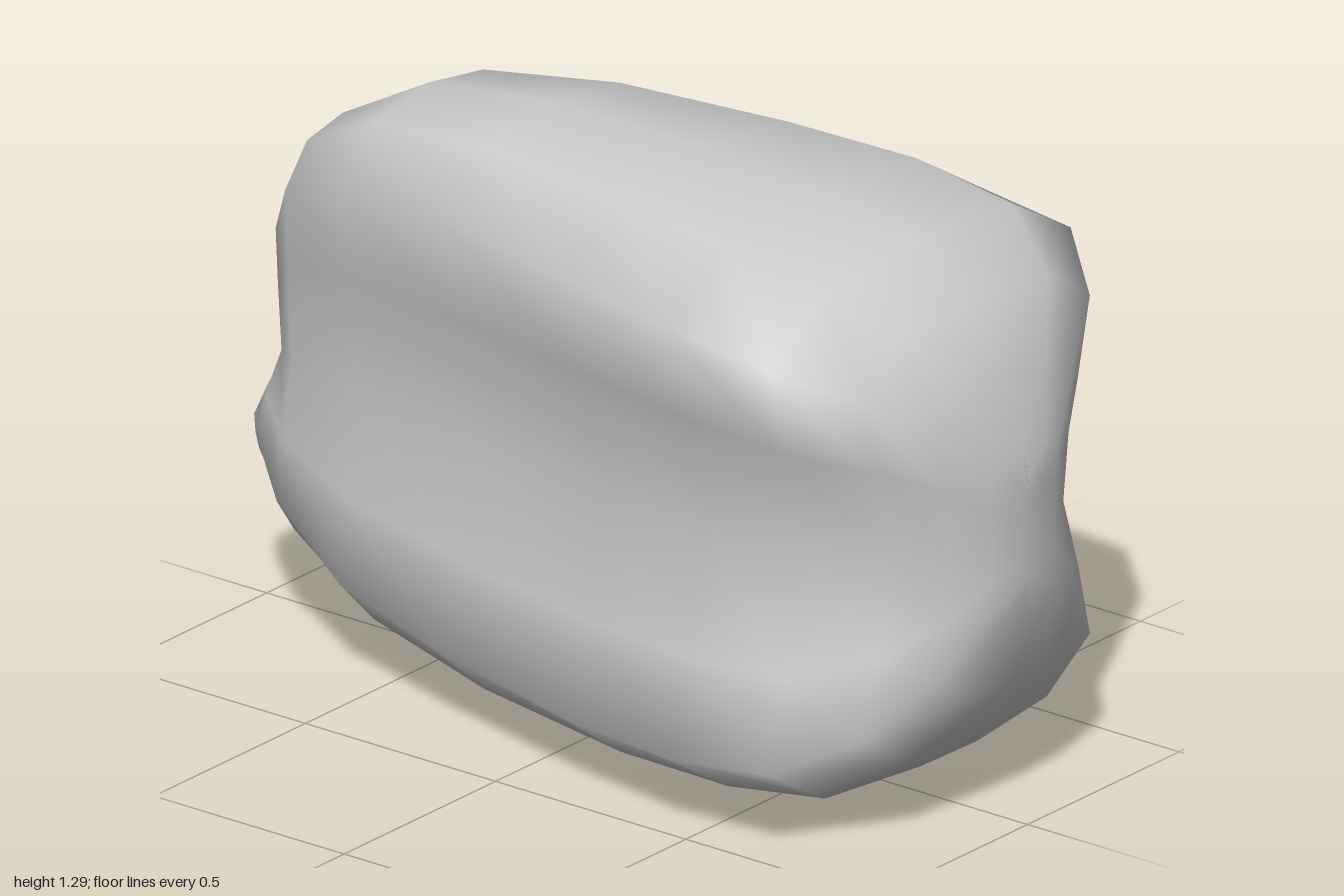
import * as THREE from 'three';
import { mergeVertices } from 'three/addons/utils/BufferGeometryUtils.js';

// Half outline of a cross-section, bottom to top:
// [share of half width, share of height, share of waist pinch, share of backward reach]
const half = [[0, 0, 0, 1], [0.62, 0.025, 0, 1], [1, 0.12, 0, 0.88], [1, 0.29, 0.375, 0.55],
  [1, 0.5, 1, 0], [1, 0.71, 0.375, 0], [1, 0.88, 0, 0], [0.62, 0.975, 0, 0], [0, 1, 0, 0]];
const outline = [...half, ...half.slice(1, -1).reverse().map(([x, ...rest]) => [-x, ...rest])];

// Sections from front to back:
// z, half width, bottom, top, waist pinch, waist drop, backward reach of the lower part, its loss at the sides
const sections = [
  [1.0, 0, 0.53, 0.76, 0, 0, 0, 0],
  [0.99, 0.11, 0.455, 0.84, 0.1, 0, 0, 0],
  [0.945, 0.215, 0.29, 1.0, 0.13, 0, 0, 0],
  [0.865, 0.375, 0.15, 1.14, 0.28, 0, 0, 0],
  [0.715, 0.5, 0.055, 1.235, 0.28, 0, 0, 0],
  [0.46, 0.5, 0.015, 1.275, 0.24, 0, 0, 0],
  [0.15, 0.445, 0, 1.288, 0.24, 0, 0, 0],
  [-0.25, 0.36, 0.02, 1.288, 0.23, 0.01, 0, 0],
  [-0.575, 0.29, 0.08, 1.245, 0.19, 0.02, 0, 0],
  [-0.8, 0.19, 0.2, 1.12, 0.11, 0.04, 0.05, 0.5],
  [-0.873, 0.13, 0.345, 0.96, 0.15, 0.07, 0.12, 0.5],
  [-0.88, 0.065, 0.355, 0.94, 0.1, 0.08, 0.115, 0],
  [-0.88, 0, 0.36, 0.93, 0, 0.08, 0.12, 0],
];

function createBody() {
  const n = outline.length, pos = [], index = [];
  for (const [z, w, y0, y1, pinch, drop, reach, loss] of sections) {
    for (const [u, v, waist, low] of outline) {
      pos.push(
        u * w * (1 - pinch * waist),
        y0 + (v - drop * waist) * (y1 - y0),
        z - reach * low * (1 - loss * Math.abs(u)),
      );
    }
  }
  // Skin between neighbouring sections; the flat first and last ones close the ends
  for (let r = 0; r < (sections.length - 1) * n; r += n) {
    for (let j = 0; j < n; j++) {
      const k = (j + 1) % n;
      index.push(r + j, r + n + j, r + k, r + k, r + n + j, r + n + k);
    }
  }
  const geometry = new THREE.BufferGeometry();
  geometry.setAttribute('position', new THREE.Float32BufferAttribute(pos, 3));
  geometry.setIndex(index);
  // Weld the end seams so that shading stays smooth across them
  const welded = mergeVertices(geometry);
  welded.computeVertexNormals();
  return welded;
}

export function createModel() {
  const group = new THREE.Group();
  const body = new THREE.Mesh(createBody(), new THREE.MeshStandardMaterial({ color: 0xcccccc }));
  body.name = 'waistedBody';
  group.add(body);
  return group;
}
